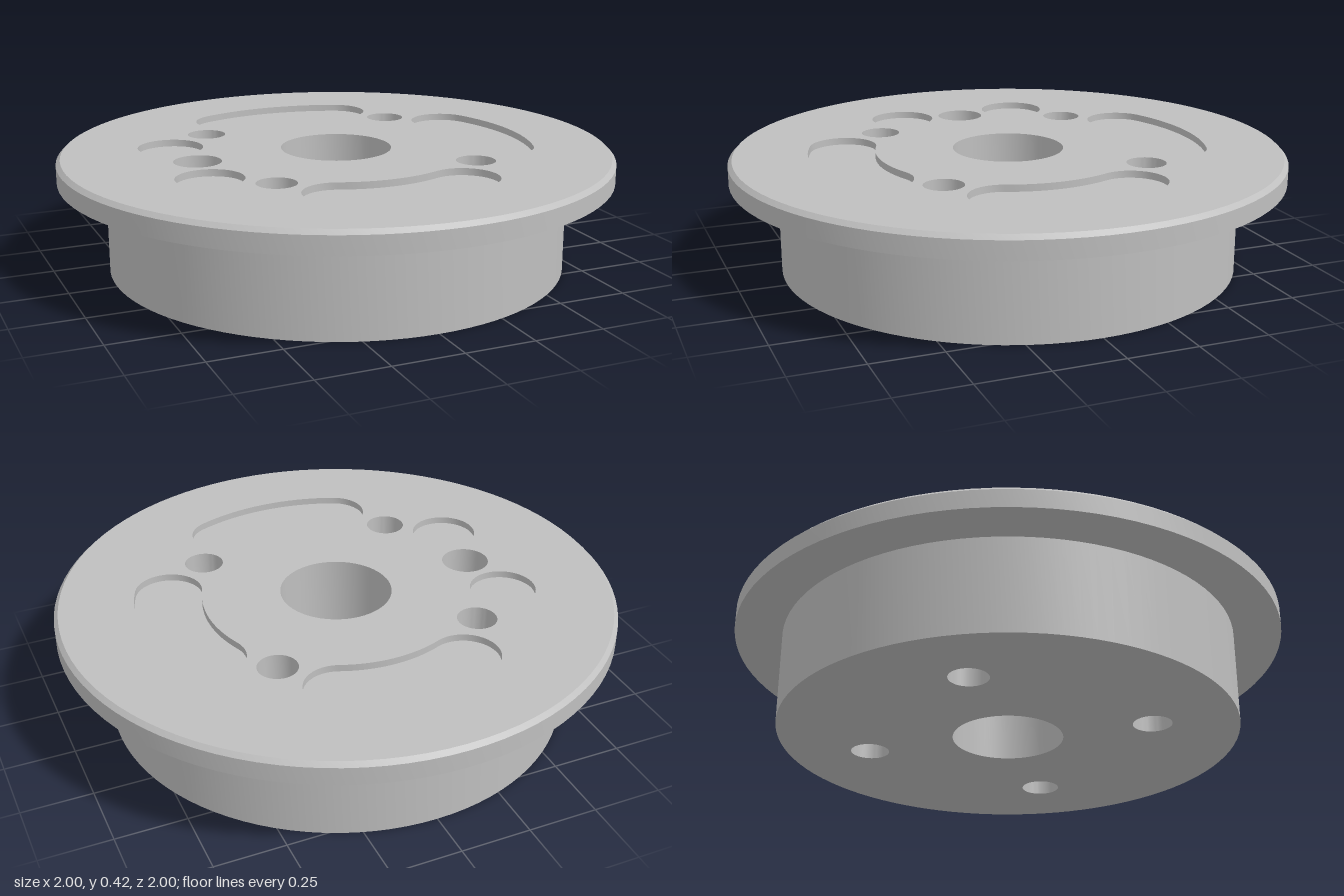
import * as THREE from 'three';
import { toCreasedNormals } from 'three/addons/utils/BufferGeometryUtils.js';

const TOP = 0.42, FLANGE = 0.34, POCKET = 0.395, BLIND = 0.21;
const SEGMENTS = 96;

// Points along an arc, without its last point
function arc(cx, cy, r, from, to, n) {
  return Array.from({ length: n }, (_, i) => {
    const a = from + (to - from) * i / n;
    return new THREE.Vector2(cx + r * Math.cos(a), cy + r * Math.sin(a));
  });
}

const circle = (cx, cy, r, n = 48) => arc(cx, cy, r, 0, Math.PI * 2, n);

// Curved slot with round ends, centred on the given direction
function slot(direction) {
  const R = 0.6, w = 0.12, h = Math.PI / 8;
  const a = direction - h, b = direction + h;
  return [
    ...arc(0, 0, R + w, a, b, 16),
    ...arc(R * Math.cos(b), R * Math.sin(b), w, b, b + Math.PI, 20),
    ...arc(0, 0, R - w, b, a, 16),
    ...arc(R * Math.cos(a), R * Math.sin(a), w, a + Math.PI, a + Math.PI * 2, 20),
  ];
}

// Flat horizontal face with holes
function face(outline, holes, y, up = true) {
  const shape = new THREE.Shape(outline);
  shape.holes = holes.map((h) => new THREE.Path(h));
  return new THREE.ShapeGeometry(shape).rotateX(up ? -Math.PI / 2 : Math.PI / 2).translate(0, y, 0);
}

// Inward-facing wall of a hole
function wall(outline, y0, y1) {
  const pos = [];
  outline.forEach((a, i) => {
    const b = outline[(i + 1) % outline.length];
    pos.push(a.x, y0, -a.y, a.x, y1, -a.y, b.x, y1, -b.y);
    pos.push(a.x, y0, -a.y, b.x, y1, -b.y, b.x, y0, -b.y);
  });
  const geo = new THREE.BufferGeometry();
  geo.setAttribute('position', new THREE.Float32BufferAttribute(pos, 3));
  return toCreasedNormals(geo, 0.5);
}

export function createModel() {
  const group = new THREE.Group();
  const metal = new THREE.MeshStandardMaterial({ color: 0xbfbfbf });
  metal.name = 'grey metal';

  const add = (name, geometry) => {
    const mesh = new THREE.Mesh(geometry, metal);
    mesh.name = name;
    group.add(mesh);
  };

  // Outer side: hub, flange underside, rim and chamfer
  const profile = [[0.83, 0], [0.83, FLANGE], [1, FLANGE], [1, 0.405], [0.985, TOP]];
  const side = new THREE.LatheGeometry(profile.map(([x, y]) => new THREE.Vector2(x, y)), SEGMENTS);
  add('hubAndFlangeSide', toCreasedNormals(side, 0.5));

  // Through holes: centre bore and four bolt holes
  const bore = circle(0, 0, 0.2, 64);
  const bolts = [];
  for (const x of [-0.372, 0.372]) for (const z of [-0.372, 0.372]) bolts.push(circle(x, z, 0.07));
  const through = [bore, ...bolts];

  // Recesses in the top: three slots, two round pockets, one deeper hole
  const recesses = [
    ...[0, Math.PI / 2, -Math.PI / 2].map((d) => ({ name: 'slot', outline: slot(d), floor: POCKET })),
    ...[-0.23, 0.23].map((z) => ({ name: 'roundPocket', outline: circle(-0.555, z, 0.118), floor: POCKET })),
    { name: 'blindHole', outline: circle(-0.525, 0, 0.085), floor: BLIND },
  ];

  add('topFace', face(circle(0, 0, 0.985, SEGMENTS), [...through, ...recesses.map((r) => r.outline)], TOP));
  add('bottomFace', face(circle(0, 0, 0.83, SEGMENTS), through, 0, false));

  add('centreBore', wall(bore, 0, TOP));
  bolts.forEach((b) => add('boltHole', wall(b, 0, TOP)));
  recesses.forEach(({ name, outline, floor }) => {
    add(name + 'Wall', wall(outline, floor, TOP));
    add(name + 'Floor', face(outline, [], floor));
  });
  return group;
}
